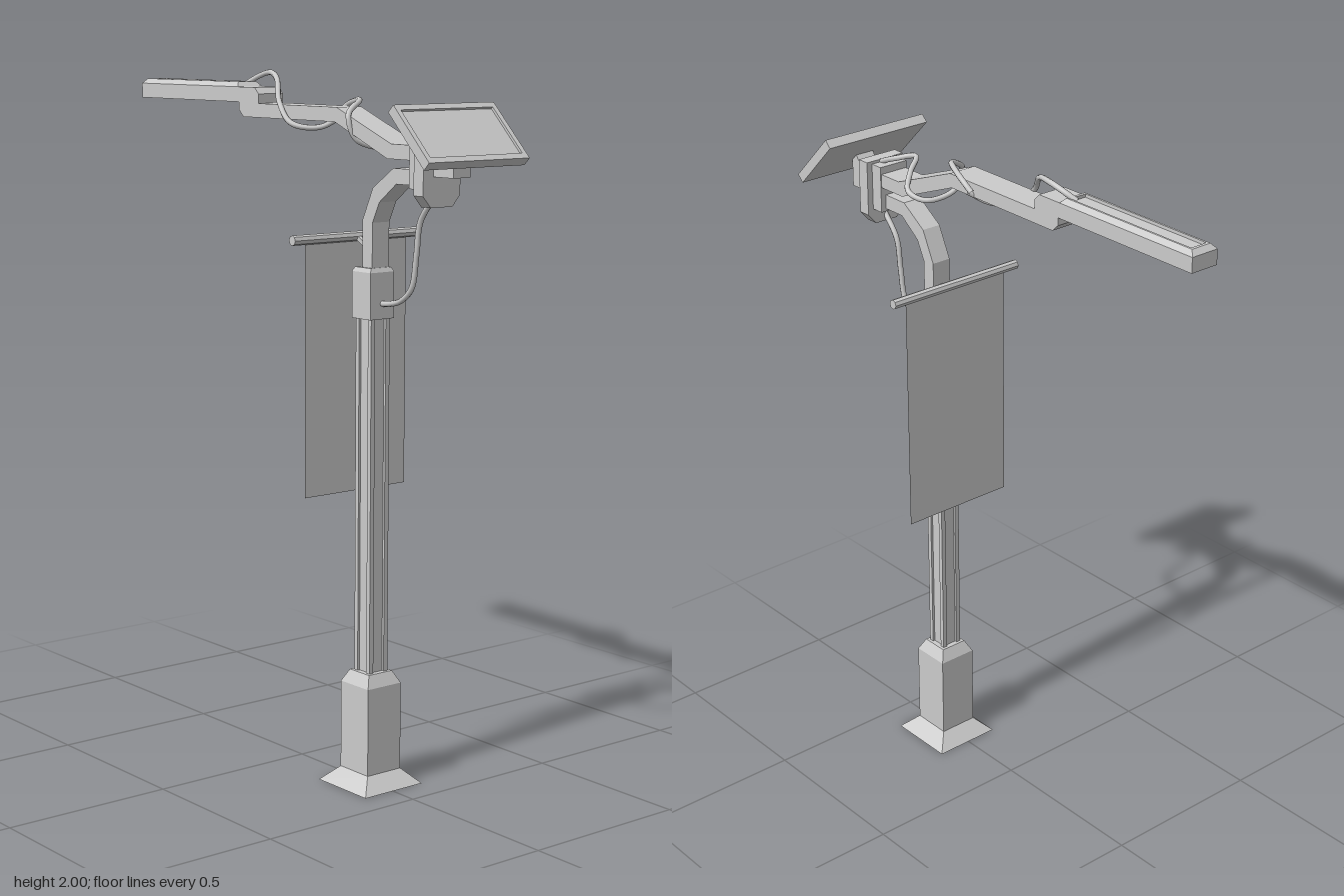
import * as THREE from 'three';

const mat = new THREE.MeshStandardMaterial({ color: 0xcccccc, flatShading: true });
const smooth = new THREE.MeshStandardMaterial({ color: 0xcccccc });
const sheet = new THREE.MeshStandardMaterial({ color: 0xcccccc, side: THREE.DoubleSide });

// Capped stack of rectangles, each [half x, half z, y]; steps inward and back make recesses
function loft(rects) {
  const pos = [];
  const corner = ([hx, hz, y], k) => [[hx, y, hz], [hx, y, -hz], [-hx, y, -hz], [-hx, y, hz]][k % 4];
  const quad = (a, b, c, d) => pos.push(...a, ...b, ...c, ...a, ...c, ...d);
  const last = rects[rects.length - 1];
  quad(...[3, 2, 1, 0].map((k) => corner(rects[0], k)));
  quad(...[0, 1, 2, 3].map((k) => corner(last, k)));
  for (let i = 0; i < rects.length - 1; i++) {
    for (let k = 0; k < 4; k++) {
      quad(corner(rects[i], k), corner(rects[i], k + 1), corner(rects[i + 1], k + 1), corner(rects[i + 1], k));
    }
  }
  const geo = new THREE.BufferGeometry();
  geo.setAttribute('position', new THREE.Float32BufferAttribute(pos, 3));
  geo.computeVertexNormals();
  return geo;
}

// Outline extruded and centred on its depth
function slab(points, depth) {
  const shape = new THREE.Shape(points.map(([x, y]) => new THREE.Vector2(x, y)));
  return new THREE.ExtrudeGeometry(shape, { depth, bevelEnabled: false }).translate(0, 0, -depth / 2);
}

function cableGeometry(points) {
  const curve = new THREE.CatmullRomCurve3(points.map((p) => new THREE.Vector3(...p)));
  return new THREE.TubeGeometry(curve, points.length * 7, 0.008, 8);
}

export function createModel() {
  const model = new THREE.Group();
  model.name = 'streetLamp';
  const add = (name, geo, x = 0, y = 0, z = 0, material = mat) => {
    const mesh = new THREE.Mesh(geo, material);
    mesh.name = name;
    mesh.position.set(x, y, z);
    model.add(mesh);
    return mesh;
  };
  const px = 0.31;

  // Flared foot and square plinth
  add('foot', loft([[0.104, 0.104, 0], [0.06, 0.06, 0.043]]), px);
  add('plinth', loft([[0.06, 0.06, 0.04], [0.06, 0.06, 0.295], [0.042, 0.042, 0.33]]), px);

  // Post with a shallow groove down each face
  const w = 0.033, g = 0.019, d = 0.026;
  const section = [];
  for (let k = 0; k < 4; k++) {
    const c = Math.round(Math.cos(k * Math.PI / 2)), s = Math.round(Math.sin(k * Math.PI / 2));
    for (const [x, y] of [[w, -w], [w, -g], [d, -g], [d, g], [w, g]]) section.push([x * c - y * s, x * s + y * c]);
  }
  add('post', slab(section, 1.02).rotateX(-Math.PI / 2), px, 0.83);

  // Collar and bent neck
  add('collar', loft([[0.04, 0.042, 1.333], [0.04, 0.042, 1.462], [0.034, 0.036, 1.474]]), px);
  add('neck', slab([[0.30, 1.46], [0.342, 1.46], [0.342, 1.598], [0.37, 1.655], [0.44, 1.708], [0.53, 1.708],
    [0.53, 1.75], [0.428, 1.75], [0.343, 1.693], [0.30, 1.603]], 0.06));

  // Mounting block and back plate with cut lower corners
  add('mountBlock', new THREE.BoxGeometry(0.05, 0.136, 0.094), 0.537, 1.768);
  add('mountPlate', slab([[-0.065, 1.685], [-0.038, 1.654], [0.038, 1.654], [0.065, 1.685],
    [0.065, 1.844], [-0.065, 1.844]], 0.038).rotateY(Math.PI / 2), 0.57);

  // Lamp arm with stepped joint
  add('lampArm', slab([[-0.26, 1.907], [-0.243, 1.907], [-0.243, 1.885], [-0.222, 1.865], [0.195, 1.865],
    [0.418, 1.775], [0.53, 1.775], [0.53, 1.815], [0.434, 1.815], [0.202, 1.905], [-0.15, 1.905],
    [-0.15, 1.932], [-0.168, 1.95], [-0.26, 1.95]], 0.088));

  // Lamp head: recessed underside, raised rim on top
  add('lampHead', loft([[0.228, 0.03, 1.92], [0.228, 0.034, 1.907], [0.245, 0.044, 1.907], [0.245, 0.044, 1.95],
    [0.231, 0.032, 1.964], [0.222, 0.026, 1.964], [0.222, 0.026, 1.955]]), -0.493);

  // Solar panel tilted on an angled bracket
  add('panelBracket', slab([[0.58, 1.735], [0.667, 1.735], [0.667, 1.815], [0.648, 1.833], [0.628, 1.81],
    [0.628, 1.762], [0.58, 1.762]], 0.06));
  const panel = add('solarPanel', loft([[0.1, 0.175, -0.014], [0.1, 0.175, 0.014],
    [0.082, 0.16, 0.014], [0.082, 0.16, 0.007]]), 0.656, 1.845);
  panel.rotation.z = -Math.PI / 4;

  // Banner, its rod and the bracket to the neck
  add('bannerRod', new THREE.CylinderGeometry(0.014, 0.014, 0.45, 8).rotateX(Math.PI / 2), 0.238, 1.553);
  add('banner', new THREE.PlaneGeometry(0.36, 0.71).rotateY(-Math.PI / 2), 0.238, 1.192, 0, sheet);
  const arm = [[0.24, 1.553], [0.272, 1.535], [0.305, 1.528]];
  for (let i = 0; i < 2; i++) {
    const [a, b] = [arm[i], arm[i + 1]];
    const dx = b[0] - a[0], dy = b[1] - a[1];
    add('bannerBracket', new THREE.BoxGeometry(Math.hypot(dx, dy) + 0.004, 0.012, 0.012),
      (a[0] + b[0]) / 2, (a[1] + b[1]) / 2).rotation.z = Math.atan2(dy, dx);
  }

  // Loose cables wound along the arm
  add('headCable', cableGeometry([[-0.285, 1.958, -0.015], [-0.25, 1.978, -0.03], [-0.2, 1.991, -0.034],
    [-0.12, 1.973, 0], [-0.05, 1.91, 0.045], [0.01, 1.855, 0.05], [0.075, 1.845, 0], [0.115, 1.88, -0.055],
  ]), 0, 0, 0, smooth);
  add('armCable', cableGeometry([[0.09, 1.885, -0.06], [0.12, 1.907, -0.062], [0.175, 1.92, -0.045],
    [0.23, 1.922, -0.015], [0.256, 1.885, 0.045], [0.272, 1.82, 0.03], [0.305, 1.797, -0.045],
    [0.355, 1.815, -0.07], [0.395, 1.853, -0.03], [0.43, 1.878, 0.018], [0.49, 1.862, -0.01],
    [0.56, 1.834, -0.012]]), 0, 0, 0, smooth);
  add('neckCable', cableGeometry([[0.335, 1.375, 0], [0.38, 1.378, 0], [0.43, 1.392, 0], [0.472, 1.43, 0],
    [0.49, 1.52, 0], [0.505, 1.61, 0], [0.56, 1.68, 0]]), 0, 0, 0, smooth);

  model.children.forEach((part) => { part.position.z -= 0.004; });
  return model;
}
